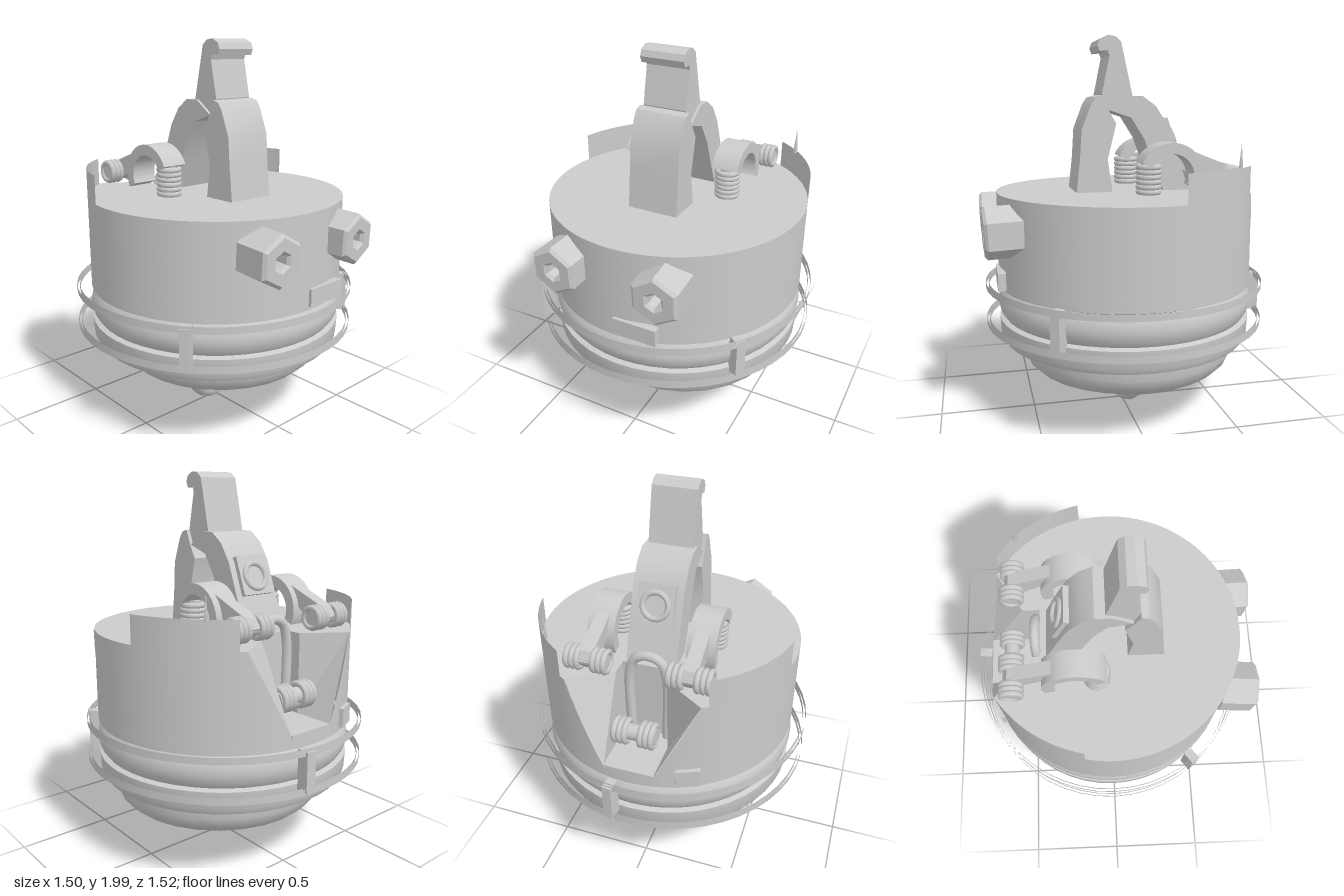
import * as THREE from 'three';
import { toCreasedNormals } from 'three/addons/utils/BufferGeometryUtils.js';
import { ParametricGeometry } from 'three/addons/geometries/ParametricGeometry.js';

const mat = new THREE.MeshStandardMaterial({ color: 0xcccccc, side: THREE.DoubleSide });
const RAD = Math.PI / 180;
const R = 0.68; // body radius

export function createModel() {
  const root = new THREE.Group();

  const add = (name, geo, x = 0, y = 0, z = 0, parent = root) => {
    const m = new THREE.Mesh(geo, mat);
    m.name = name;
    m.position.set(x, y, z);
    parent.add(m);
    return m;
  };
  const group = (name, x = 0, y = 0, z = 0) => {
    const g = new THREE.Group();
    g.name = name;
    g.position.set(x, y, z);
    root.add(g);
    return g;
  };
  const lathe = (pts, seg) =>
    toCreasedNormals(new THREE.LatheGeometry(pts.map(p => new THREE.Vector2(...p)), seg), 0.6);
  // Side profile given as [z, y], extruded across x and centred
  const slab = (profile, width) => {
    const shape = profile instanceof THREE.Shape ? profile
      : new THREE.Shape(profile.map(p => new THREE.Vector2(...p)));
    const g = new THREE.ExtrudeGeometry(shape, { depth: width, bevelEnabled: false, curveSegments: 20 });
    g.translate(0, 0, -width / 2);
    g.rotateY(-Math.PI / 2);
    return toCreasedNormals(g, 0.5);
  };

  // Lower dish and its hanging loop
  add('dish', lathe([[0, 0.25], [0.46, 0.253], [0.51, 0.272], [0.55, 0.31], [0.57, 0.36], [0.57, 0.43]], 28), 0.05, 0, -0.02);
  const loop = add('bottomLoop', new THREE.TorusGeometry(0.205, 0.05, 12, 32, Math.PI), 0, 0.262, 0);
  loop.rotation.set(0, 0.24, Math.PI, 'YXZ');

  // Body: base, bulging belt and lower wall
  const body = group('body', 0.01, 0, -0.01);
  add('base', lathe([
    [0, 0.42], [0.66, 0.42], [0.675, 0.45], [0.68, 0.54], [0.655, 0.55], [0.675, 0.58],
    [0.685, 0.63], [0.675, 0.68], [0.655, 0.71], [R, 0.72], [R, 0.78],
  ], 48), 0, 0, 0, body);

  // Upper wall, open at the back; the opening widens towards the top
  const TOP = 30, LOW = 11;
  add('wall', new ParametricGeometry((u, v, p) => {
    const half = (LOW + (TOP - LOW) * v) * RAD;
    const a = Math.PI + half + u * (2 * Math.PI - 2 * half);
    p.set(R * Math.sin(a), 0.78 + 0.43 * v, R * Math.cos(a));
  }, 64, 6), 0, 0, 0, body);

  // Top plate with a notch above the rear niche
  const plate = new THREE.Shape();
  plate.absarc(0, 0, R, (90 + TOP) * RAD, (450 - TOP) * RAD, false);
  [[0.13, 0.45], [0.13, 0.36], [-0.13, 0.36], [-0.13, 0.45]].forEach(p => plate.lineTo(...p));
  const plateGeo = new THREE.ShapeGeometry(plate, 48);
  plateGeo.rotateX(-Math.PI / 2);
  add('topPlate', plateGeo, 0, 1.21, 0, body);

  // Niche walls follow the notch outline down to the floor
  const outline = (deg) => {
    const x = R * Math.sin(deg * RAD), z = -R * Math.cos(deg * RAD);
    return [[x, z], [0.13, -0.45], [0.13, -0.36], [-0.13, -0.36], [-0.13, -0.45], [-x, z]];
  };
  const hi = outline(TOP), lo = outline(LOW), tri = [];
  for (let i = 0; i < 5; i++) {
    const a = [hi[i][0], 1.21, hi[i][1]], b = [hi[i + 1][0], 1.21, hi[i + 1][1]];
    const c = [lo[i][0], 0.78, lo[i][1]], d = [lo[i + 1][0], 0.78, lo[i + 1][1]];
    tri.push(...a, ...c, ...b, ...b, ...c, ...d);
  }
  const niche = new THREE.BufferGeometry();
  niche.setAttribute('position', new THREE.Float32BufferAttribute(tri, 3));
  niche.computeVertexNormals();
  add('nicheWalls', niche, 0, 0, 0, body);
  add('nicheFloor', new THREE.BoxGeometry(0.26, 0.02, 0.31), 0, 0.78, -0.515, body);

  // Raised rim panels and a thin splinter
  const panel = (name, from) => add(name,
    new THREE.CylinderGeometry(R, R, 0.15, 16, 1, true, from * RAD, 45 * RAD), 0, 1.28, 0, body);
  panel('rimPanelLeft', 102);
  panel('rimPanelRight', 213);
  add('splinter', new THREE.ConeGeometry(0.012, 0.13, 4), 0.48, 1.41, -0.47, body);

  // Outer hoops with upright holders
  for (const y of [0.52, 0.718]) {
    add('hoop', new THREE.CylinderGeometry(0.75, 0.75, 0.03, 48, 1, true), 0, y, -0.01);
    add('hoopInner', new THREE.CylinderGeometry(0.735, 0.735, 0.03, 48, 1, true), 0, y, -0.01);
  }
  for (const [x, z] of [[-0.57, 0.43], [0.56, 0.43], [0.09, -0.73]]) {
    const h = add('hoopHolder', new THREE.BoxGeometry(0.05, 0.21, 0.07), x, 0.62, z);
    h.rotation.y = Math.atan2(x, z);
  }

  // Small plates on the wall
  add('frontPlate', new THREE.BoxGeometry(0.235, 0.09, 0.04), 0.125, 0.785, 0.665);
  const rearPlate = add('rearPlate', new THREE.BoxGeometry(0.12, 0.1, 0.04), -0.28, 0.79, -0.625);
  rearPlate.rotation.y = 0.42;

  // Hexagonal nuts on the front
  const hex = (r, C) => {
    const s = new C();
    for (let i = 0; i < 6; i++) {
      const a = (i * 60 + 30) * RAD;
      s[i ? 'lineTo' : 'moveTo'](r * Math.cos(a), r * Math.sin(a));
    }
    s.closePath();
    return s;
  };
  const nutShape = hex(0.115, THREE.Shape);
  nutShape.holes.push(hex(0.055, THREE.Path));
  const nutGeo = new THREE.ExtrudeGeometry(nutShape, {
    depth: 0.17, bevelThickness: 0.015, bevelSize: 0.015, bevelSegments: 1,
  });
  for (const s of [-1, 1]) {
    const nut = add('nut', nutGeo, s * 0.265, 1.05, 0.565);
    nut.rotation.set(0.04, s * 0.05, 0);
    add('nutCore', new THREE.CircleGeometry(0.07, 6), 0, 0, 0.1, nut);
  }

  // Central clamp: front leg, rear leg and hooked head
  const clamp = group('clamp', 0.005, 0, 0);
  add('frontLeg', slab([
    [0.27, 1.2], [0.25, 1.38], [0.24, 1.53], [0.19, 1.66], [0.165, 1.695], [0.13, 1.705],
    [0.1, 1.63], [0.06, 1.56], [0.105, 1.38], [0.08, 1.2],
  ], 0.27), 0, 0, 0, clamp);
  add('rearLeg', slab([
    [0.1, 1.63], [0.0, 1.7], [-0.08, 1.7], [-0.15, 1.65], [-0.21, 1.56], [-0.27, 1.4], [-0.34, 1.2],
    [-0.2, 1.2], [-0.15, 1.32], [-0.09, 1.48], [-0.02, 1.59],
  ], 0.26), 0, 0, 0, clamp);
  add('hookedHead', slab([
    [0.1, 1.62], [0.13, 1.71], [0.09, 1.9], [0.1, 1.925], [0.14, 1.92], [0.152, 1.95], [0.14, 1.98],
    [0.1, 2.0], [0.06, 1.995], [0.03, 1.97], [-0.03, 1.7],
  ], 0.23), 0, 0, 0, clamp);
  const pad = add('rearLegPad', new THREE.BoxGeometry(0.19, 0.2, 0.03), 0, 1.49, -0.245, clamp);
  pad.rotation.x = 0.36;
  const ring = add('padRing', new THREE.TorusGeometry(0.065, 0.015, 8, 24), 0, 1.49, -0.262, clamp);
  ring.rotation.x = 0.36;

  // Coil springs as stacked rings on a core
  const spring = (name, offsets, r, tube, length) => {
    const g = new THREE.Group();
    g.name = name;
    const coil = new THREE.TorusGeometry(r, tube, 8, 20);
    coil.rotateX(Math.PI / 2);
    for (const o of offsets) add('coil', coil, 0, o, 0, g);
    add('springCore', new THREE.CylinderGeometry(r * 0.75, r * 0.75, length, 14), 0, 0, 0, g);
    root.add(g);
    return g;
  };
  const pair = [-0.095, -0.068, -0.041, 0.041, 0.068, 0.095];
  const upright = [-0.062, -0.037, -0.012, 0.013, 0.038, 0.063];

  // Side claws: arched jaw, arm, upright spring and cross spring
  const jaw = new THREE.Shape();
  jaw.absarc(0, 0, 0.17, 25 * RAD, 205 * RAD, false);
  jaw.absarc(0, 0, 0.115, 205 * RAD, 25 * RAD, true);
  jaw.closePath();
  const jawGeo = slab(jaw, 0.14);
  const armGeo = slab([
    [-0.2, 1.465], [-0.52, 1.34], [-0.545, 1.29], [-0.51, 1.24], [-0.45, 1.26], [-0.3, 1.35],
  ], 0.07);
  for (const s of [-1, 1]) {
    const x = s * 0.255 + 0.005;
    add('clawJaw', jawGeo, x, 1.3, -0.185);
    add('clawArm', armGeo, x, 0, 0);
    spring('uprightSpring', upright, 0.052, 0.015, 0.17).position.set(x, 1.285, -0.08);
    const cross = spring('crossSpring', pair, 0.05, 0.015, 0.2);
    cross.position.set(x, 1.29, -0.505);
    cross.rotation.z = Math.PI / 2;
  }

  // Niche mechanism: cross spring and an inverted U rod
  const low = spring('nicheSpring', pair, 0.055, 0.016, 0.22);
  low.position.set(0.015, 0.93, -0.55);
  low.rotation.z = Math.PI / 2;
  const path = new THREE.CatmullRomCurve3([
    [-0.095, 0.8], [-0.095, 1.18], [-0.065, 1.26], [0, 1.285], [0.065, 1.26], [0.095, 1.18], [0.095, 0.8],
  ].map(([x, y]) => new THREE.Vector3(x, y, 0)), false, 'centripetal');
  add('uRod', new THREE.TubeGeometry(path, 40, 0.025, 10), 0, 0, -0.39);

  return root;
}
